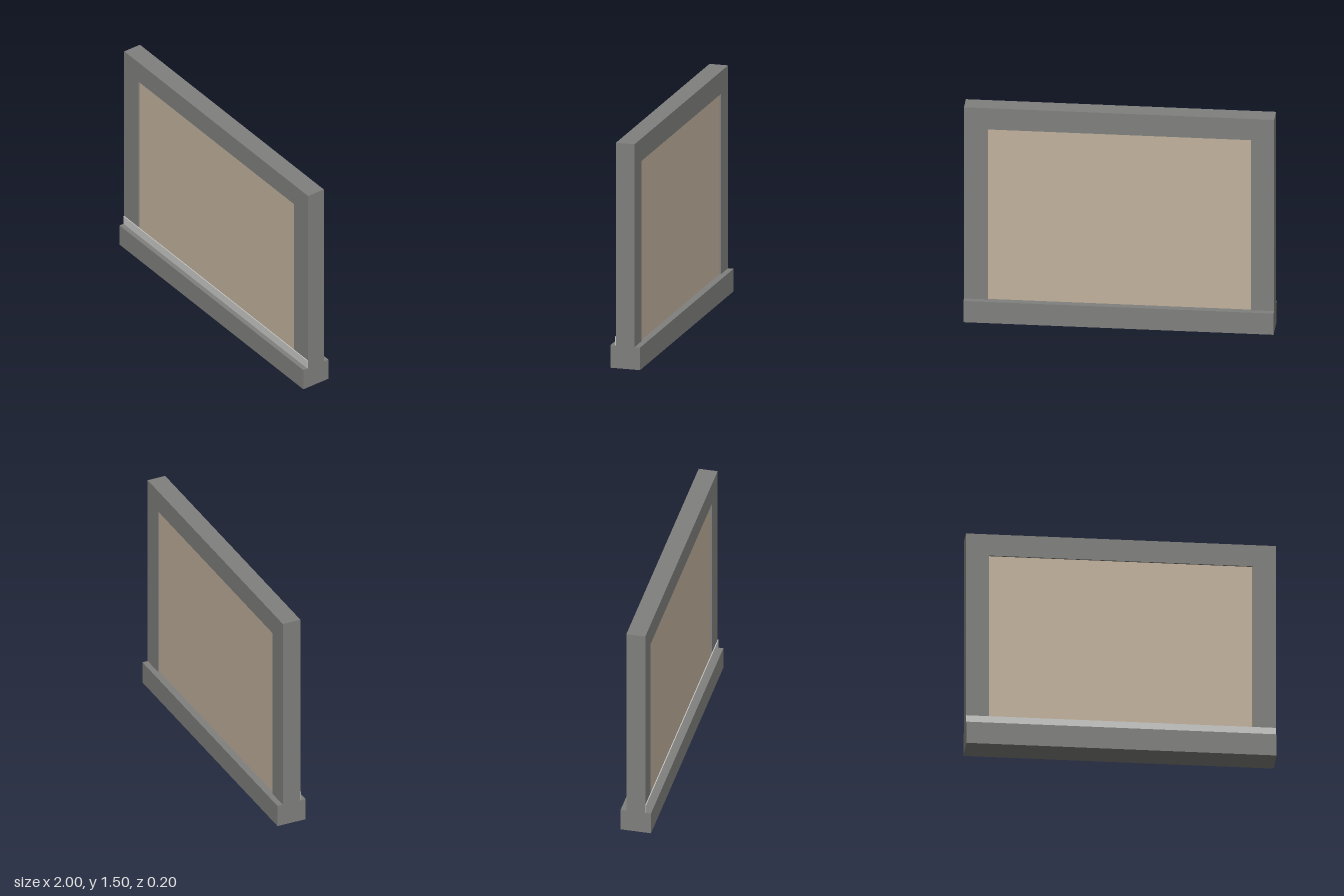
import * as THREE from 'three';

export function createModel() {
  const model = new THREE.Group();
  model.name = 'framedPanel';

  const mat = (name, color) => {
    const m = new THREE.MeshStandardMaterial({ color });
    m.name = name;
    return m;
  };
  const frameGrey = mat('frameGrey', 0x80807e);
  const panelBeige = mat('panelBeige', 0xc1b29d);
  const trimGrey = mat('trimLightGrey', 0xc8c8c6);

  // Box given by its centre x and z, its bottom y and its size
  const box = (name, material, w, h, d, x, y, z) => {
    const mesh = new THREE.Mesh(new THREE.BoxGeometry(w, h, d), material);
    mesh.name = name;
    mesh.position.set(x, y + h / 2, z);
    model.add(mesh);
  };

  const baseH = 0.15, top = 1.5, border = 0.15, depth = 0.125;

  // Wide base
  box('base', frameGrey, 2, baseH, 0.2, 0, 0, 0);

  // Upright frame, open at the bottom where it meets the base
  const arch = new THREE.Shape([
    [-1, baseH], [-1 + border, baseH], [-1 + border, top - border], [1 - border, top - border],
    [1 - border, baseH], [1, baseH], [1, top], [-1, top],
  ].map(([x, y]) => new THREE.Vector2(x, y)));
  const frameGeo = new THREE.ExtrudeGeometry(arch, { depth, bevelEnabled: false });
  frameGeo.translate(0, 0, -depth / 2);
  const frame = new THREE.Mesh(frameGeo, frameGrey);
  frame.name = 'frame';
  model.add(frame);

  // Panel set slightly back from both faces of the frame
  box('panel', panelBeige, 2 - 2 * border, top - border - baseH, 0.105, 0, baseH, 0);

  // Thin light strip along the front, just above the base
  box('frontTrim', trimGrey, 2, 0.06, 0.006, 0, baseH, depth / 2 + 0.003);

  return model;
}
